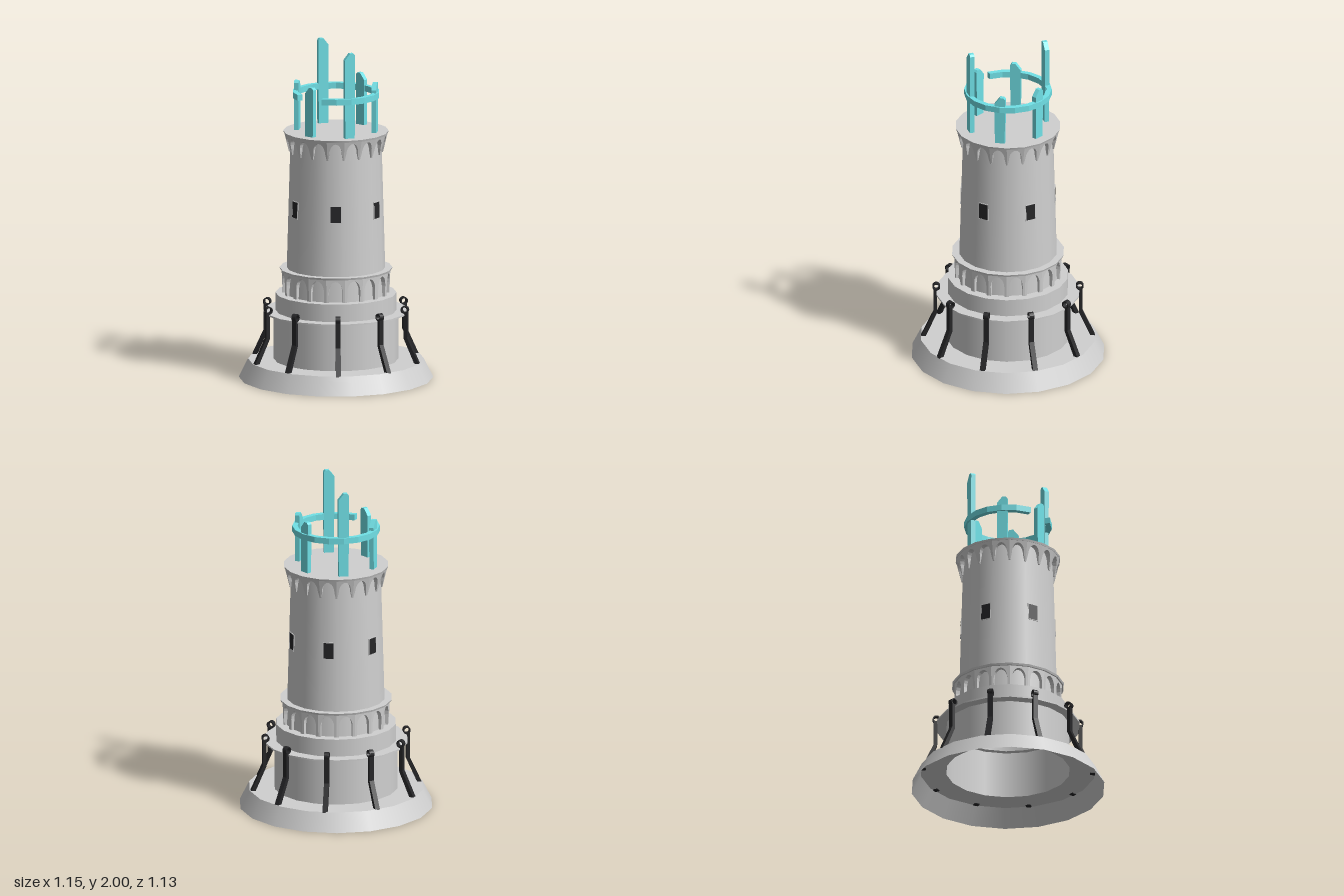
import * as THREE from 'three';
import { mergeGeometries } from 'three/addons/utils/BufferGeometryUtils.js';

const SIDES = 18;
const STEP = (Math.PI * 2) / SIDES;
const HALF_TAN = Math.tan(STEP / 2);

const mat = (name, color, side = THREE.FrontSide) => {
  const m = new THREE.MeshStandardMaterial({ color, side });
  m.name = name;
  return m;
};

// Turned shell: each profile segment gets its own normals, so rims stay sharp
function turned(profile) {
  const parts = [];
  for (let i = 0; i < profile.length - 1; i++) {
    const pts = [profile[i], profile[i + 1]].map(([r, y]) => new THREE.Vector2(r, y));
    parts.push(new THREE.LatheGeometry(pts, SIDES, STEP / 2, Math.PI * 2));
  }
  return mergeGeometries(parts);
}

// Disc-like ledge with a hidden centre
const ledge = (r, y0, y1, slope) => turned([[0, y0], [r - slope, y0], [r, y1], [0, y1]]);

// Ring of arches: one panel per side, flared from the lower to the upper radius
function arcade({ bottom, spring, apex, top, legWidth, open, inner, rBottom, rTop }) {
  const s = new THREE.Shape();
  s.moveTo(-1, top);
  s.lineTo(-1, bottom);
  s.lineTo(-1 + legWidth, bottom);
  s.lineTo(-open, spring);
  s.bezierCurveTo(-open, spring + (apex - spring) * 0.6, -open * 0.5, apex, 0, apex);
  s.bezierCurveTo(open * 0.5, apex, open, spring + (apex - spring) * 0.6, open, spring);
  s.lineTo(1 - legWidth, bottom);
  s.lineTo(1, bottom);
  s.lineTo(1, top);
  s.closePath();
  const panel = new THREE.ExtrudeGeometry(s, { depth: 1, bevelEnabled: false, curveSegments: 5 });
  const p = panel.attributes.position;
  for (let i = 0; i < p.count; i++) {
    const y = p.getY(i);
    const outer = THREE.MathUtils.mapLinear(y, bottom, top, rBottom, rTop);
    const r = THREE.MathUtils.lerp(inner, outer, p.getZ(i));
    p.setXYZ(i, p.getX(i) * r * HALF_TAN, y, r);
  }
  panel.computeVertexNormals();
  const all = [];
  for (let i = 0; i < SIDES; i++) all.push(panel.clone().rotateY(i * STEP));
  return mergeGeometries(all);
}

function polygon(points) {
  return new THREE.Shape(points.map(([x, y]) => new THREE.Vector2(x, y)));
}

export function createModel() {
  const model = new THREE.Group();
  model.name = 'tower';
  const stone = mat('stone grey', 0xd0d0d0, THREE.DoubleSide);
  const iron = mat('iron black', 0x262628);
  const teal = mat('teal', 0x72e4ea);

  const add = (name, geometry, material, parent = model) => {
    const mesh = new THREE.Mesh(geometry, material);
    mesh.name = name;
    parent.add(mesh);
    return mesh;
  };

  // Hollow foot open underneath, drums and walkway
  add('foot', turned([[0.575, 0], [0.52, 0.11], [0.368, 0.11]]), stone);
  add('lowerDrum', turned([[0.368, 0.11], [0.368, 0.395]]), stone);
  add('walkway', turned([[0.368, 0.395], [0.428, 0.395], [0.428, 0.405], [0.358, 0.405]]), stone);
  add('upperDrum', turned([[0.358, 0.405], [0.358, 0.51], [0.29, 0.51]]), stone);

  // Tapering shaft with two arcaded bands and their ledges
  add('shaft', turned([[0.3, 0.51], [0.291, 0.66], [0.268, 1.475]]), stone);
  add('lowerArcade', arcade({
    bottom: 0.51, spring: 0.575, apex: 0.638, top: 0.655,
    legWidth: 0.26, open: 0.74, inner: 0.28, rBottom: 0.311, rTop: 0.317,
  }), stone);
  add('lowerLedge', ledge(0.334, 0.65, 0.662, 0.004), stone);
  add('upperArcade', arcade({
    bottom: 1.36, spring: 1.4, apex: 1.465, top: 1.478,
    legWidth: 0.1, open: 0.74, inner: 0.255, rBottom: 0.274, rTop: 0.302,
  }), stone);
  add('upperLedge', ledge(0.312, 1.476, 1.488, 0.004), stone);

  // Six small windows, leaning with the wall
  const w = 0.034, h = 0.052;
  const frameShape = polygon([[-w, -h], [w, -h], [w, h], [-w, h]]);
  const a = w - 0.004, b = h - 0.004;
  frameShape.holes.push(polygon([[-a, -b], [-a, b], [a, b], [a, -b]]));
  const frameGeo = new THREE.ExtrudeGeometry(frameShape, { depth: 0.009, bevelEnabled: false });
  const paneGeo = new THREE.BoxGeometry(a * 2, b * 2, 0.008);
  for (let i = 0; i < 6; i++) {
    const pivot = new THREE.Group();
    pivot.name = 'window';
    pivot.rotation.y = -STEP + (i * Math.PI) / 3;
    const leaf = new THREE.Group();
    leaf.name = 'windowLeaf';
    leaf.position.set(0, 1.035, 0.2755);
    leaf.rotation.x = -0.027;
    add('windowFrame', frameGeo, stone, leaf).position.z = -0.004;
    add('windowPane', paneGeo, iron, leaf);
    pivot.add(leaf);
    model.add(pivot);
  }

  // Ten iron brackets: a bent bar topped by an eye
  const bar = polygon([
    [0.42, 0.415], [0.42, 0.26], [0.488, 0.105], [0.515, 0.105], [0.441, 0.265], [0.441, 0.415],
  ]);
  const eye = new THREE.Shape().absarc(0.424, 0.43, 0.023, 0, Math.PI * 2);
  eye.holes.push(new THREE.Path().absarc(0.424, 0.43, 0.016, 0, Math.PI * 2, true));
  const depth = 0.03;
  const bracketGeo = new THREE.ExtrudeGeometry([bar, eye], { depth, bevelEnabled: false, curveSegments: 8 });
  bracketGeo.translate(0, 0, -depth / 2);
  for (let i = 0; i < 10; i++) {
    add('bracket', bracketGeo, iron).rotation.y = (i * Math.PI) / 5;
  }

  // Six broken uprights with one corner cut off: the front and back ones are tall
  [2, 1.785, 1.8, 2, 1.785, 1.785].forEach((top, i) => {
    const k = 0.032;
    const post = polygon([
      [-k * 0.92, 1.48], [k * 0.92, 1.48], [k, top - 0.012], [k * 0.7, top], [0, top], [-k, top - 0.04],
    ]);
    const geo = new THREE.ExtrudeGeometry(post, { depth: 0.028, bevelEnabled: false });
    geo.translate(0, 0, 0.219);
    add('upright', geo, teal).rotation.y = (i * Math.PI) / 3;
  });

  // Broken hoop with a gap at the front right
  const start = THREE.MathUtils.degToRad(-129);
  const sweep = THREE.MathUtils.degToRad(318.5);
  const hoop = new THREE.Shape();
  const N = 16;
  const at = (r, i) => [r * Math.cos(start + (sweep * i) / N), r * Math.sin(start + (sweep * i) / N)];
  hoop.moveTo(...at(0.259, 0));
  for (let i = 1; i <= N; i++) hoop.lineTo(...at(0.259, i));
  for (let i = N; i >= 0; i--) hoop.lineTo(...at(0.228, i));
  hoop.closePath();
  const hoopGeo = new THREE.ExtrudeGeometry(hoop, { depth: 0.036, bevelEnabled: false });
  hoopGeo.rotateX(-Math.PI / 2);
  add('hoop', hoopGeo, teal).position.y = 1.692;

  return model;
}
